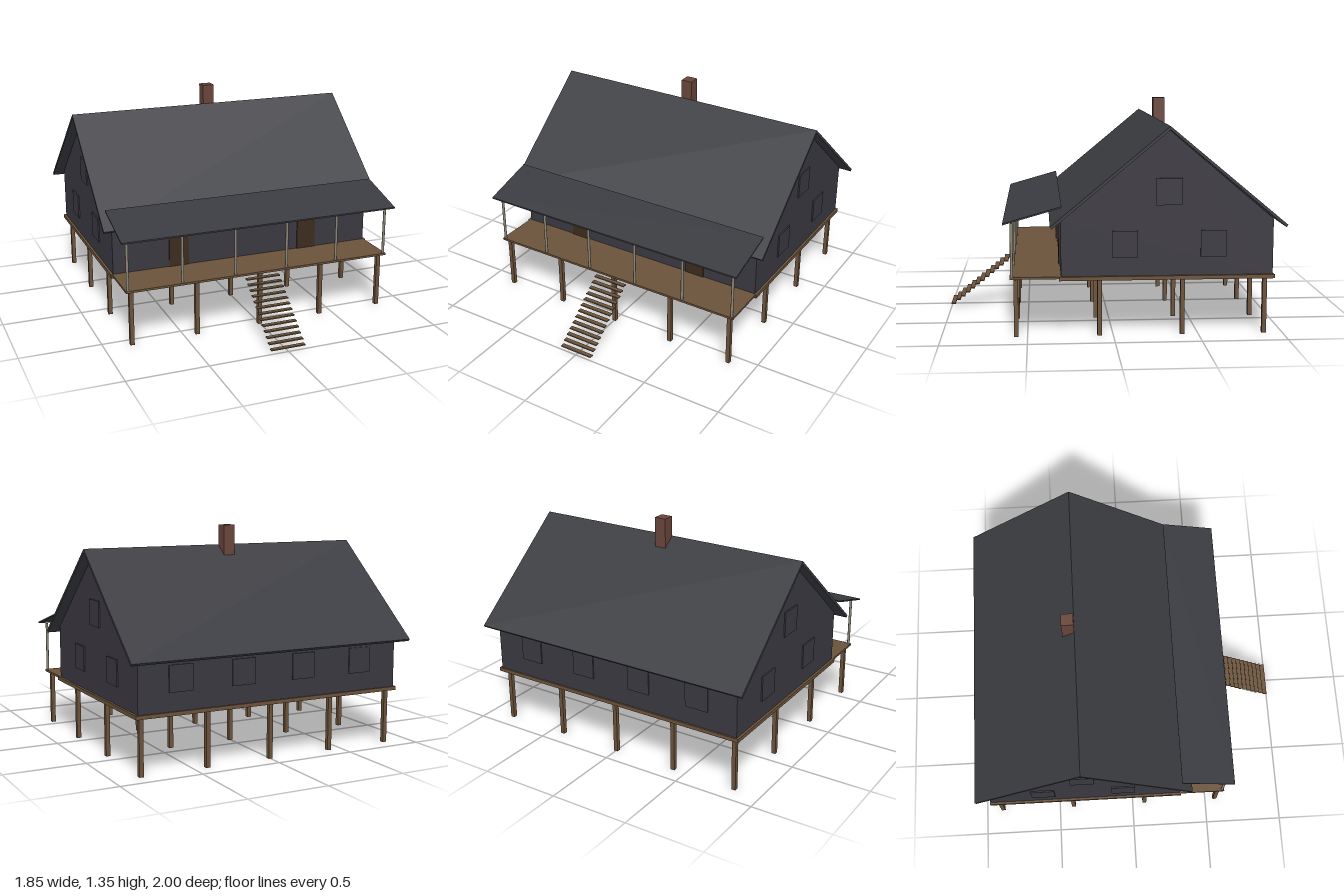
import * as THREE from 'three';

const mat = (name, color) => {
  const m = new THREE.MeshStandardMaterial({ color });
  m.name = name;
  return m;
};

export function createModel() {
  const house = new THREE.Group();
  house.name = 'stiltHouse';

  const wall = mat('wallSlate', 0x3a3840);
  const roof = mat('roofCharcoal', 0x3a3b40);
  const wood = mat('timber', 0x6a523a);
  const doorWood = mat('doorBrown', 0x3d2b1f);
  const postGrey = mat('porchPostGrey', 0x8a8474);
  const brick = mat('chimneyBrick', 0x68443a);

  const add = (name, geometry, material, x = 0, y = 0, z = 0) => {
    const mesh = new THREE.Mesh(geometry, material);
    mesh.name = name;
    mesh.position.set(x, y, z);
    house.add(mesh);
    return mesh;
  };
  // Box given by its low and high limits on y and z, centred on x
  const block = (name, material, x, w, y0, y1, z0, z1) =>
    add(name, new THREE.BoxGeometry(w, y1 - y0, z1 - z0), material, x, (y0 + y1) / 2, (z0 + z1) / 2);
  // Side profile of [z, y] points drawn out along x
  const prism = (name, material, points, w) => {
    const shape = new THREE.Shape(points.map(([z, y]) => new THREE.Vector2(z, y)));
    const g = new THREE.ExtrudeGeometry(shape, { depth: w, bevelEnabled: false });
    g.rotateY(-Math.PI / 2).translate(w / 2, 0, 0);
    return add(name, g, material);
  };

  // Floors
  block('houseFloor', wood, 0, 1.754, 0.335, 0.358, -0.94, 0.315);
  block('porchFloor', wood, 0, 1.735, 0.345, 0.358, 0.315, 0.6);

  // Stilts
  const stilt = new THREE.BoxGeometry(0.026, 0.337, 0.026);
  for (const x of [-0.83, -0.415, 0, 0.415, 0.83])
    for (const z of [0.565, 0.08, -0.405, -0.89]) add('stilt', stilt, wood, x, 0.1685, z);

  // Walls with gable ends
  prism('walls', wall, [
    [-0.93, 0.355], [0.305, 0.355], [0.305, 0.685], [-0.315, 1.205], [-0.93, 0.685],
  ], 1.724);

  // Main gable roof
  prism('mainRoof', roof, [
    [0.357, 0.645], [0.368, 0.658], [-0.316, 1.227], [-1.0, 0.658], [-0.989, 0.645], [-0.316, 1.206],
  ], 1.854);

  // Porch roof and its posts
  prism('porchRoof', roof, [
    [0.637, 0.667], [0.637, 0.676], [0.3, 0.772], [0.3, 0.763],
  ], 1.794);
  const post = new THREE.CylinderGeometry(0.0085, 0.0085, 0.315, 12);
  for (let i = 0; i < 6; i++) add('porchPost', post, postGrey, -0.853 + i * 0.3412, 0.5135, 0.588);

  // Chimney
  block('chimney', brick, 0, 0.074, 1.1, 1.35, -0.39, -0.315);

  // Doors
  for (const s of [-1, 1]) block('door', doorWood, s * 0.437, 0.127, 0.358, 0.62, 0.304, 0.312);

  // Windows: four at the back, three on each gable
  for (const x of [-0.6, -0.2, 0.2, 0.6]) block('backWindow', wall, x, 0.15, 0.467, 0.622, -0.937, -0.929);
  for (const s of [-1, 1])
    for (const [z, y] of [[-0.58, 0.467], [-0.065, 0.467], [-0.32, 0.77]])
      block('sideWindow', wall, s * 0.866, 0.009, y, y + 0.155, z - 0.075, z + 0.075);

  // Open stair treads
  const tread = new THREE.BoxGeometry(0.22, 0.007, 0.027);
  for (let i = 0; i < 13; i++) add('stairTread', tread, wood, 0, 0.024 + i * 0.0252, 0.9865 - i * 0.0313);

  return house;
}
